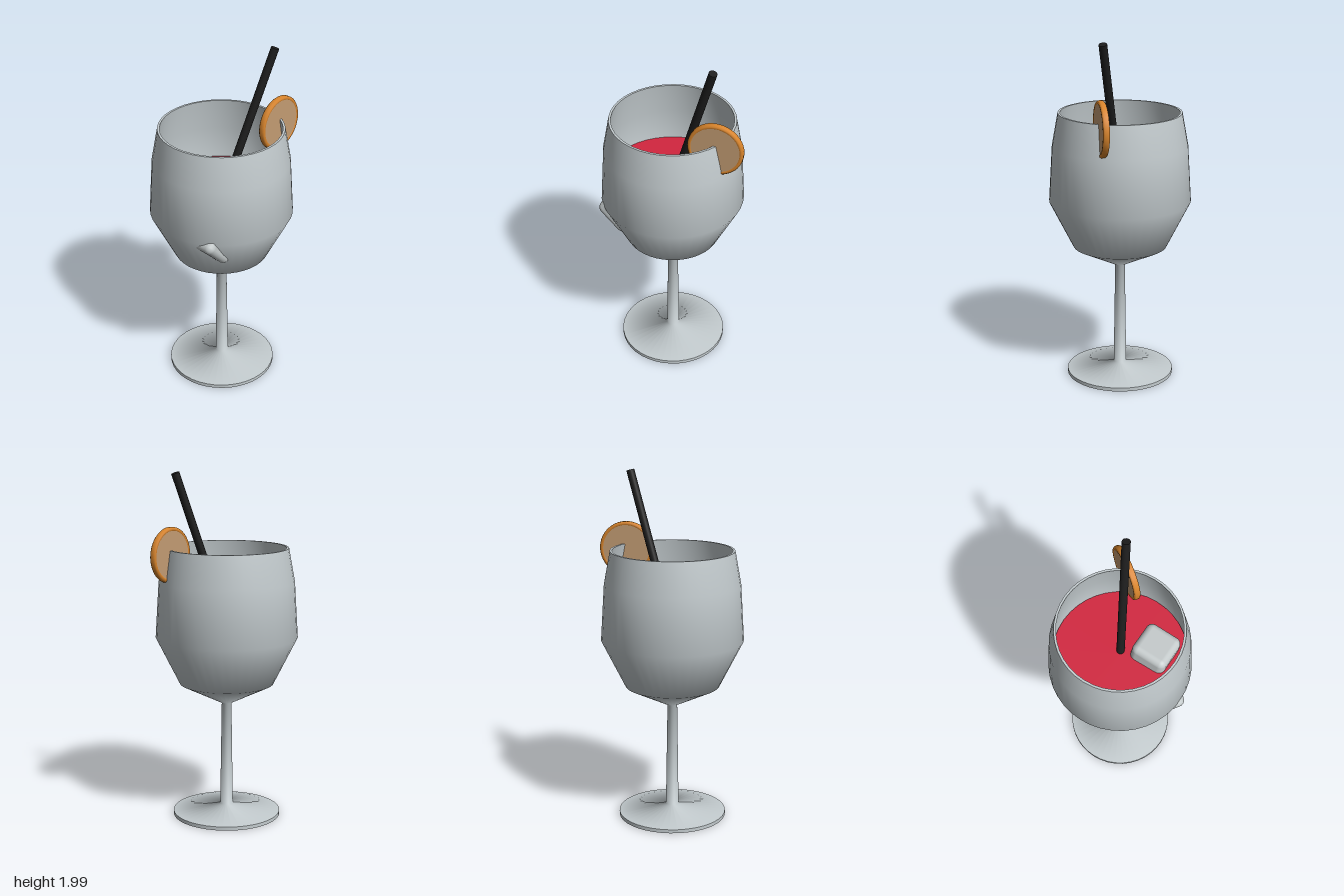
import * as THREE from 'three';
import { RoundedBoxGeometry } from 'three/addons/geometries/RoundedBoxGeometry.js';

const AXIS_X = -0.04; // centre line of the glass
const LIQUID_Y = 1.19;

function paint(name, color, side = THREE.FrontSide) {
  const m = new THREE.MeshStandardMaterial({ color, side });
  m.name = name;
  return m;
}

function lathe(points, segments) {
  return new THREE.LatheGeometry(points.map(([r, y]) => new THREE.Vector2(r, y)), segments);
}

export function createModel() {
  const model = new THREE.Group();
  model.name = 'cocktailGlass';

  const glass = paint('glass', 0xc3cbce, THREE.DoubleSide);
  const ice = paint('ice', 0xc6cccd);
  const liquid = paint('redDrink', 0xd3263f);
  const rind = paint('orangeRind', 0xd9852c);
  const flesh = paint('orangeFlesh', 0xc39c73);
  const black = paint('blackStraw', 0x1d1d1d);

  const add = (name, geometry, material, parent = model) => {
    const mesh = new THREE.Mesh(geometry, material);
    mesh.name = name;
    parent.add(mesh);
    return mesh;
  };

  // Glass: foot, stem, bowl wall, rim and inner wall
  const body = new THREE.Group();
  body.name = 'glassBody';
  body.position.x = AXIS_X;
  model.add(body);
  add('footBase', lathe([[0, 0.005], [0.31, 0.005]], 40), glass, body);
  add('footEdge', lathe([[0.31, 0.005], [0.31, 0.026]], 40), glass, body);
  add('bowlAndStem', lathe([
    [0.31, 0.026], [0.037, 0.065], [0.028, 0.67], [0.27, 0.79],
    [0.405, 1.06], [0.385, 1.38], [0.35, 1.57],
  ], 40), glass, body);
  add('rim', lathe([[0.35, 1.57], [0.337, 1.57]], 40), glass, body);
  add('innerWall', lathe([
    [0.337, 1.57], [0.368, 1.38], [0.388, 1.06], [0.25, 0.81], [0, 0.7],
  ], 40), glass, body);

  // Drink filling the lower bowl
  add('drinkBody', lathe([
    [0, 0.71], [0.245, 0.815], [0.383, 1.06], [0.376, LIQUID_Y],
  ], 40), liquid, body);
  add('drinkSurface', new THREE.CircleGeometry(0.377, 40).rotateX(-Math.PI / 2), liquid, body)
    .position.y = LIQUID_Y;

  // Ice: one cube floats, the other rests with a corner through the wall
  const cube = new RoundedBoxGeometry(0.215, 0.215, 0.215, 4, 0.038);
  const floating = add('floatingIce', cube, ice);
  floating.position.set(0, 1.17, 0.188);
  floating.rotation.set(0.06, -0.47, -0.14, 'YXZ');

  const sunken = add('sunkenIce', cube, ice);
  const out = new THREE.Vector3(-0.476, 0, 0.88).normalize();
  const up = new THREE.Vector3(0, 1, 0);
  const across = up.clone().cross(out);
  const axes = [0, 1, 2].map((k) => {
    const a = (k * 2 * Math.PI) / 3;
    return out.clone().multiplyScalar(Math.sqrt(1 / 3))
      .addScaledVector(across, Math.sqrt(2 / 3) * Math.cos(a))
      .addScaledVector(up, Math.sqrt(2 / 3) * Math.sin(a));
  });
  sunken.quaternion.setFromRotationMatrix(new THREE.Matrix4().makeBasis(...axes));
  sunken.position.set(AXIS_X, 1.035, 0).addScaledVector(out, 0.267);

  // Straw leaning to the rim
  const top = new THREE.Vector3(0.266, 1.992, 0);
  const bottom = new THREE.Vector3(-0.12, 0.89, 0);
  const lean = top.clone().sub(bottom);
  const straw = add('straw', new THREE.CylinderGeometry(0.023, 0.023, lean.length(), 20), black);
  straw.position.copy(top).add(bottom).multiplyScalar(0.5);
  straw.quaternion.setFromUnitVectors(up, lean.normalize());

  // Orange slice across the rim: rounded rind ring and flat flesh
  const slice = new THREE.Group();
  slice.name = 'orangeSlice';
  slice.position.set(0.298, 1.543, 0);
  slice.rotation.y = 0.507;
  model.add(slice);
  add('rind', lathe([
    [0.134, -0.014], [0.138, -0.018], [0.148, -0.018], [0.155, -0.010],
    [0.155, 0.010], [0.148, 0.018], [0.138, 0.018], [0.134, 0.014],
  ], 40).rotateX(Math.PI / 2), rind, slice);
  add('flesh', new THREE.CylinderGeometry(0.136, 0.136, 0.031, 40).rotateX(Math.PI / 2), flesh, slice);

  return model;
}
